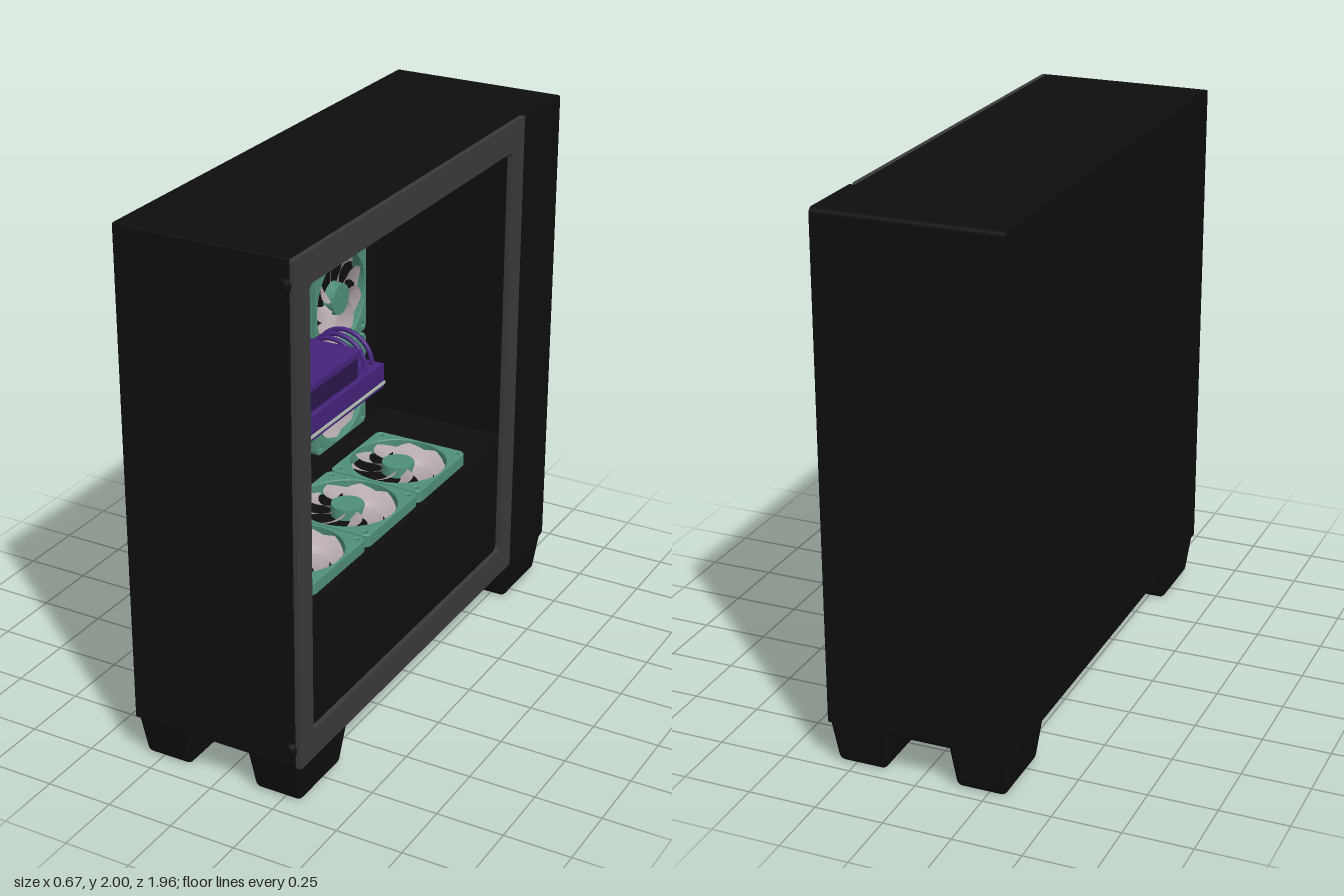
import * as THREE from 'three';
import { RoundedBoxGeometry } from 'three/addons/geometries/RoundedBoxGeometry.js';

const mat = (color, side = THREE.FrontSide) => new THREE.MeshStandardMaterial({ color, side });
const black = mat(0x0e0e0e), grey = mat(0x3a3a3a), green = mat(0x4f8f78), pale = mat(0xb5c4b4);
const bladeMat = mat(0xb4a8ac, THREE.DoubleSide), purple = mat(0x44237c), violet = mat(0x5a12a0);
const boardMat = mat(0x2c1a3c), finMat = mat(0x2c1850);

function add(parent, name, geo, material, x = 0, y = 0, z = 0) {
  const m = new THREE.Mesh(geo, material);
  m.name = name;
  m.position.set(x, y, z);
  parent.add(m);
  return m;
}

// Box given by its limits
function box(parent, name, material, x0, x1, y0, y1, z0, z1) {
  return add(parent, name, new THREE.BoxGeometry(x1 - x0, y1 - y0, z1 - z0), material,
    (x0 + x1) / 2, (y0 + y1) / 2, (z0 + z1) / 2);
}

function roundRect(C, x0, y0, x1, y1, r) {
  const s = new C();
  s.absarc(x1 - r, y0 + r, r, -Math.PI / 2, 0);
  s.absarc(x1 - r, y1 - r, r, 0, Math.PI / 2);
  s.absarc(x0 + r, y1 - r, r, Math.PI / 2, Math.PI);
  s.absarc(x0 + r, y0 + r, r, Math.PI, Math.PI * 1.5);
  s.closePath();
  return s;
}

// Extrude a (z, y) outline along x
function slab(shape, xMin, xMax) {
  return new THREE.ExtrudeGeometry(shape, { depth: xMax - xMin, bevelEnabled: false, curveSegments: 8 })
    .rotateY(-Math.PI / 2).translate(xMax, 0, 0);
}

// Swept, pitched fan blade
function bladeGeometry() {
  const g = new THREE.PlaneGeometry(1, 1, 4, 6), p = g.attributes.position;
  for (let i = 0; i < p.count; i++) {
    const t = p.getX(i), k = p.getY(i) + 0.5;
    const r = 0.055 + 0.12 * k;
    const a = t * (0.46 + 0.1 * k) - 0.55 * k * k;
    p.setXYZ(i, r * Math.cos(a), r * Math.sin(a), 0.027 + t * 0.026);
  }
  g.computeVertexNormals();
  return g;
}

// Fan facing its local +z, standing on z = 0
const FAN = 0.375;
const fanParts = (() => {
  const h = FAN / 2, s = roundRect(THREE.Shape, -h, -h, h, h, 0.025);
  s.holes.push(new THREE.Path().absarc(0, 0, 0.179, 0, Math.PI * 2, true));
  for (const x of [-1, 1]) for (const y of [-1, 1])
    s.holes.push(new THREE.Path().absarc(x * 0.16, y * 0.16, 0.009, 0, Math.PI * 2, true));
  return {
    frame: new THREE.ExtrudeGeometry(s, { depth: 0.044, bevelThickness: 0.003, bevelSize: 0.003, bevelOffset: -0.003, bevelSegments: 1, curveSegments: 20 }).translate(0, 0, 0.003),
    hub: new THREE.CylinderGeometry(0.06, 0.063, 0.04, 32).rotateX(Math.PI / 2),
    strut: new THREE.BoxGeometry(0.36, 0.012, 0.006),
    blade: bladeGeometry(),
  };
})();

function fan(parent, name, x, y, z, rx, ry, scale = 1) {
  const g = new THREE.Group();
  g.name = name;
  add(g, 'fanFrame', fanParts.frame, green);
  add(g, 'fanHub', fanParts.hub, green, 0, 0, 0.027);
  for (let i = 0; i < 2; i++) add(g, 'fanStrut', fanParts.strut, black, 0, 0, 0.004).rotation.z = Math.PI * (0.25 + i / 2);
  for (let i = 0; i < 9; i++) add(g, 'fanBlade', fanParts.blade, bladeMat).rotation.z = i * Math.PI * 2 / 9;
  g.position.set(x, y, z);
  g.rotation.set(rx, ry, 0);
  g.scale.setScalar(scale);
  parent.add(g);
}

function buildCase(root) {
  // Hollow shell, closed side and front block
  const shell = roundRect(THREE.Shape, -0.7, 0.155, 0.95, 2, 0.008);
  shell.holes.push(roundRect(THREE.Path, -0.68, 0.175, 0.925, 1.955, 0.01));
  add(root, 'caseShell', slab(shell, -0.3, 0.315), black);
  add(root, 'closedSidePanel', slab(roundRect(THREE.Shape, -0.7, 0.155, 0.95, 2, 0.008), -0.335, -0.25), black);
  add(root, 'frontPanel', slab(roundRect(THREE.Shape, -0.98, 0.155, -0.68, 2, 0.02), -0.335, 0.335), black);
  // Window frame
  const frame = roundRect(THREE.Shape, -0.68, 0.155, 0.95, 2, 0.008);
  frame.holes.push(roundRect(THREE.Path, -0.58, 0.265, 0.86, 1.89, 0.02));
  add(root, 'windowFrame', slab(frame, 0.315, 0.333), grey);
  // Power supply cover
  box(root, 'powerSupplyCover', black, -0.26, 0.3, 0.17, 0.71, -0.69, 0.93);
  // Tapered feet
  const foot = new RoundedBoxGeometry(0.22, 0.18, 0.33, 3, 0.025);
  const p = foot.attributes.position;
  for (let i = 0; i < p.count; i++) {
    const k = THREE.MathUtils.mapLinear(p.getY(i), -0.09, 0.07, 0.83, 1);
    p.setX(i, p.getX(i) * k);
    p.setZ(i, p.getZ(i) * k);
  }
  foot.computeVertexNormals();
  for (const x of [-0.223, 0.223]) for (const z of [0.782, -0.813]) add(root, 'foot', foot, black, x, 0.09, z);
  // Thumbscrews
  for (const y of [1.915, 0.235]) {
    add(root, 'thumbscrewNeck', new THREE.CylinderGeometry(0.018, 0.018, 0.02, 20).rotateX(Math.PI / 2), black, 0.3, y, 0.957);
    add(root, 'thumbscrewHead', new THREE.CylinderGeometry(0.024, 0.028, 0.02, 20).rotateX(Math.PI / 2), black, 0.3, y, 0.971);
  }
}

function buildBoard(root) {
  const g = new THREE.Group();
  g.name = 'mainBoard';
  root.add(g);
  box(g, 'circuitBoard', boardMat, -0.25, -0.22, 0.84, 1.81, 0.055, 0.92);
  // Memory sticks in two banks
  for (const top of [1.76, 1.555]) for (let i = 0; i < 4; i++) {
    const y = top - i * 0.0455;
    box(g, 'memoryStick', green, -0.22, -0.135, y - 0.005, y + 0.005, 0.13, 0.53);
    box(g, 'memoryLightBar', pale, -0.135, -0.12, y - 0.006, y + 0.006, 0.13, 0.53);
  }
  // Processor cooler block with four ears
  const s = new THREE.Shape();
  s.moveTo(-0.125, 0.09);
  for (let i = 0; i < 4; i++) {
    const a = -i * Math.PI / 2, c = Math.cos(a), n = Math.sin(a);
    const q = (x, y) => [x * c - y * n, x * n + y * c];
    s.bezierCurveTo(...q(-0.14, 0.125), ...q(-0.125, 0.14), ...q(-0.09, 0.125));
    s.quadraticCurveTo(...q(-0.06, 0.085), ...q(0, 0.085));
    s.quadraticCurveTo(...q(0.06, 0.085), ...q(0.09, 0.125));
  }
  add(g, 'coolerBlock', slab(s, -0.22, -0.165), violet, 0, 1.59, 0.695);
  const disc = (name, r, x, m) => add(g, name, new THREE.CylinderGeometry(r, r, 0.05, 40).rotateZ(Math.PI / 2), m, x, 1.59, 0.695);
  disc('coolerBase', 0.085, -0.175, violet);
  disc('coolerLightRing', 0.068, -0.17, pale);
  disc('coolerCap', 0.058, -0.167, green);
  // Small board fans and storage stick
  for (const z of [0.66, 0.313]) fan(g, 'boardFan', -0.22, 0.988, z, 0, Math.PI / 2, 0.71);
  const stick = roundRect(THREE.Shape, 0.083, 0.87, 0.138, 1.095, 0.004);
  stick.holes.push(new THREE.Path().absarc(0.11, 1.08, 0.012, 0, Math.PI * 2, true));
  add(g, 'storageStick', slab(stick, -0.22, -0.2), purple);
}

function buildGraphicsCard(root) {
  const g = new THREE.Group();
  g.name = 'graphicsCard';
  root.add(g);
  box(g, 'cardShroud', purple, -0.16, 0.13, 1.178, 1.245, 0, 0.925);
  box(g, 'cardLightStrip', pale, -0.16, 0.134, 1.167, 1.178, -0.004, 0.925);
  box(g, 'cardBottomPlate', purple, -0.16, 0.13, 1.155, 1.167, 0, 0.925);
  box(g, 'cardConnector', boardMat, -0.225, -0.16, 1.2, 1.22, 0.3, 0.8);
  for (let i = 0; i < 48; i++) {
    const z = 0.155 + i * 0.016;
    box(g, 'coolingFin', finMat, -0.14, 0.11, 1.245, 1.33, z, z + 0.006);
  }
  box(g, 'finCore', boardMat, -0.13, 0.09, 1.245, 1.33, 0.155, 0.92);
  box(g, 'finTopPlate', purple, -0.15, 0.12, 1.33, 1.352, 0.145, 0.925);
  // Arched heat pipes
  const arch = new THREE.TorusGeometry(0.11, 0.009, 10, 28, Math.PI);
  for (const z of [0.128, 0.083, 0.036]) add(g, 'heatPipe', arch, purple, -0.01, 1.25, z);
}

export function createModel() {
  const root = new THREE.Group();
  root.name = 'computerTower';
  buildCase(root);
  buildBoard(root);
  buildGraphicsCard(root);
  // Side, ceiling, floor and rear fans
  for (const y of [1.705, 1.322, 0.938]) fan(root, 'sideFan', -0.25, y, -0.28, 0, Math.PI / 2);
  for (let i = -1; i <= 1; i++) {
    fan(root, 'ceilingFan', 0.12, 1.953, 0.08 + i * 0.383, Math.PI / 2, 0);
    fan(root, 'floorFan', 0.085, 0.712, 0.183 + i * 0.383, -Math.PI / 2, 0);
  }
  fan(root, 'rearFan', 0.07, 1.64, 0.924, 0, Math.PI);
  return root;
}
